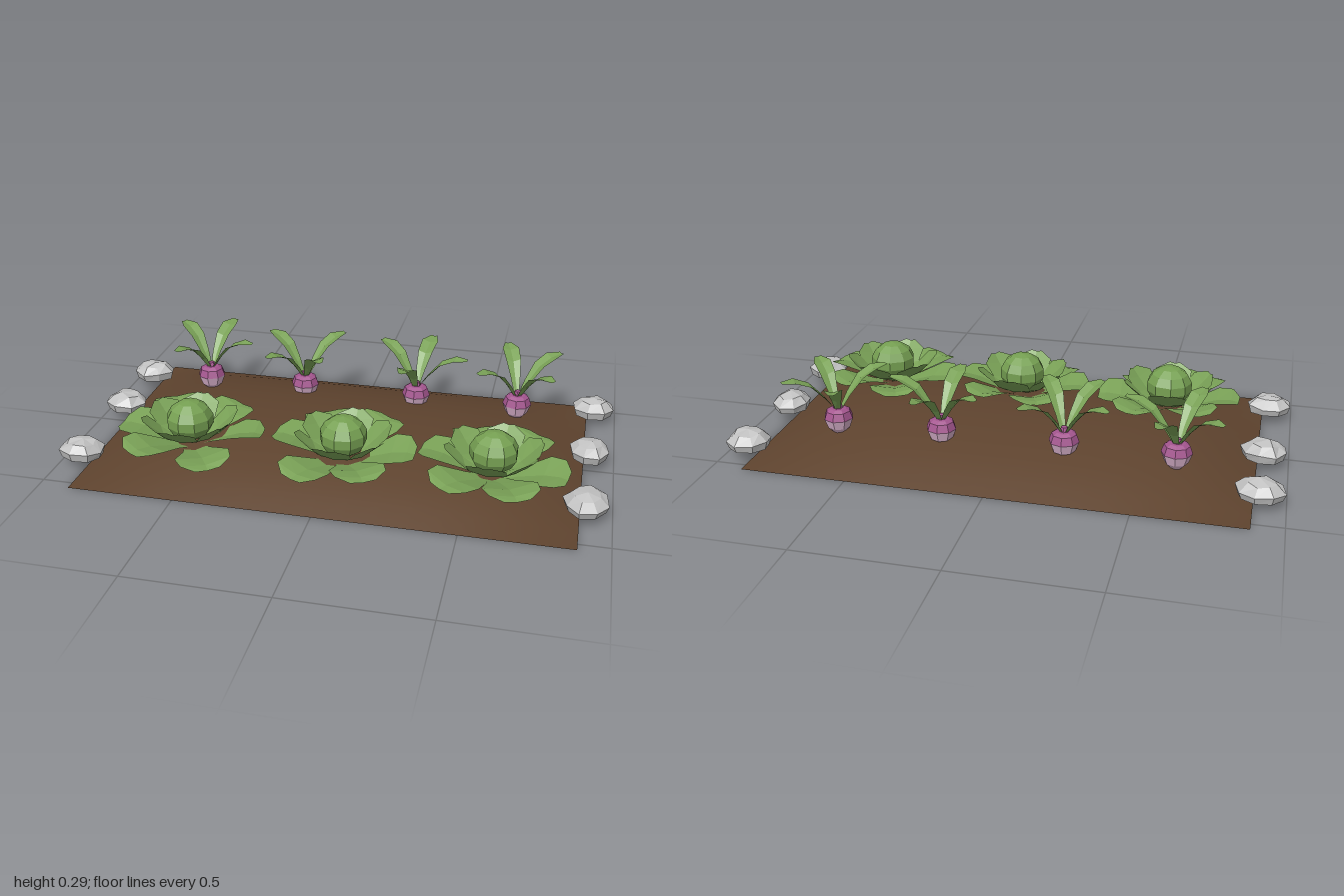
import * as THREE from 'three';

const material = (name, color, extra = {}) => {
  const m = new THREE.MeshStandardMaterial({ color, ...extra });
  m.name = name;
  return m;
};
const soilMat = material('soil brown', 0x5e432e, { side: THREE.DoubleSide });
const leafMat = material('leaf green', 0x7aa257, { side: THREE.DoubleSide, flatShading: true });
const headMat = material('cabbage green', 0x76a052, { flatShading: true });
const purpleMat = material('turnip purple', 0xa4568f, { flatShading: true });
const paleMat = material('turnip pale pink', 0xdcb4cf, { flatShading: true });
const stoneMat = material('stone grey', 0xc2c2c2, { flatShading: true });

const mesh = (name, geo, mat) => {
  const m = new THREE.Mesh(geo, mat);
  m.name = name;
  return m;
};

// Small seeded generator for natural variation
let seed = 7;
const vary = (amount) => {
  seed = (seed * 16807) % 2147483647;
  return (seed / 2147483647 - 0.5) * 2 * amount;
};

// Leaf growing along +x; each row is [distance, height, half width, edge lift]
function leafGeometry(rows) {
  const pos = [], index = [];
  rows.forEach(([r, y, w, lift], i) => {
    pos.push(r, y + lift, -w, r, y, 0, r, y + lift, w);
    if (i === 0) return;
    for (let c = 0; c < 2; c++) {
      const a = (i - 1) * 3 + c, b = a + 3;
      index.push(a, a + 1, b, a + 1, b + 1, b);
    }
  });
  const geo = new THREE.BufferGeometry();
  geo.setAttribute('position', new THREE.Float32BufferAttribute(pos, 3));
  geo.setIndex(index);
  geo.computeVertexNormals();
  return geo;
}

const outerLeaf = leafGeometry([
  [0, 0.055, 0.025, 0], [0.09, 0.085, 0.05, 0.008], [0.18, 0.115, 0.098, 0.018],
  [0.235, 0.122, 0.09, 0.015], [0.265, 0.118, 0.045, 0.005],
]);
const innerLeaf = leafGeometry([
  [0.03, 0.08, 0.03, 0], [0.1, 0.11, 0.065, 0.012], [0.145, 0.15, 0.07, 0.015], [0.175, 0.18, 0.02, 0.005],
]);
const turnipLeaf = leafGeometry([
  [0.005, 0.14, 0.008, 0], [0.045, 0.195, 0.018, 0.006], [0.095, 0.25, 0.029, 0.009],
  [0.15, 0.276, 0.032, 0.009], [0.2, 0.284, 0.012, 0.003],
]);

// Low domed bed, open underneath
function soilBed() {
  const geo = new THREE.PlaneGeometry(1.78, 1.07, 16, 12).rotateX(-Math.PI / 2);
  const p = geo.attributes.position;
  for (let i = 0; i < p.count; i++) {
    const u = p.getX(i) / 0.89, v = p.getZ(i) / 0.535;
    p.setY(i, 0.109 * (1 - u ** 4) * (1 - Math.abs(v) ** 2.1));
  }
  geo.computeVertexNormals();
  return mesh('soilBed', geo, soilMat);
}

// Round head inside two rings of six leaves
function cabbage(x, turn) {
  const g = new THREE.Group();
  g.name = 'cabbage';
  const head = mesh('cabbageHead', new THREE.SphereGeometry(0.088, 9, 7), headMat);
  head.scale.y = 0.87;
  head.position.y = 0.158;
  g.add(head);
  for (let i = 0; i < 6; i++) {
    const outer = mesh('outerLeaf', outerLeaf, leafMat);
    outer.rotation.set(vary(0.1), turn + i * Math.PI / 3 + vary(0.08), vary(0.05));
    const inner = mesh('innerLeaf', innerLeaf, leafMat);
    inner.rotation.y = turn + (i + 0.5) * Math.PI / 3 + vary(0.12);
    g.add(outer, inner);
  }
  g.position.set(x, 0, 0.22);
  return g;
}

// Two-tone root with four arching leaves; tips are leaf directions in degrees
function turnip(x, tips) {
  const g = new THREE.Group();
  g.name = 'turnip';
  const lathe = (pts) => new THREE.LatheGeometry(pts.map((p) => new THREE.Vector2(...p)), 8);
  g.add(mesh('rootTop', lathe([[0.055, 0.115], [0.045, 0.143], [0.03, 0.152], [0, 0.154]]), purpleMat));
  g.add(mesh('rootBottom', lathe([[0, 0.04], [0.022, 0.06], [0.042, 0.08], [0.055, 0.115]]), paleMat));
  tips.forEach((deg) => {
    const leaf = mesh('turnipLeaf', turnipLeaf, leafMat);
    leaf.rotation.y = THREE.MathUtils.degToRad(deg);
    g.add(leaf);
  });
  const crown = mesh('crown', new THREE.CylinderGeometry(0.012, 0.02, 0.02, 6), purpleMat);
  crown.position.y = 0.158;
  g.add(crown);
  g.position.set(x, 0, -0.267);
  return g;
}

// Flat-bottomed stone with an uneven outline
function stone(x, z, rx, rz) {
  const n = 8, pos = [], index = [];
  const edge = Array.from({ length: n }, () => 1 + vary(0.08));
  [[0.88, 0.033], [1, 0.062], [0.62, 0.088]].forEach(([s, y], k) => {
    for (let i = 0; i < n; i++) {
      const a = (i + 0.3) / n * Math.PI * 2;
      pos.push(Math.cos(a) * rx * s * edge[i], y + (k ? vary(0.006) : 0), Math.sin(a) * rz * s * edge[i]);
    }
  });
  pos.push(0, 0.033, 0, vary(0.015), 0.1, vary(0.015));
  for (let i = 0; i < n; i++) {
    const j = (i + 1) % n;
    for (const k of [0, n]) index.push(k + i, k + n + i, k + j, k + j, k + n + i, k + n + j);
    index.push(3 * n, i, j, 3 * n + 1, 2 * n + j, 2 * n + i);
  }
  const geo = new THREE.BufferGeometry();
  geo.setAttribute('position', new THREE.Float32BufferAttribute(pos, 3));
  geo.setIndex(index);
  geo.computeVertexNormals();
  const m = mesh('stone', geo, stoneMat);
  m.position.set(x, 0, z);
  return m;
}

export function createModel() {
  const model = new THREE.Group();
  model.name = 'vegetablePatch';
  model.add(soilBed());

  [[-0.535, 0], [0.043, -0.05], [0.58, -0.12]].forEach((c) => model.add(cabbage(...c)));

  [
    [-0.62, [76, -16, -111, 141]],
    [-0.225, [50, -59, -122, 147]],
    [0.225, [79, -8, -98, 143]],
    [0.62, [41, -48, -135, 108]],
  ].forEach((t) => model.add(turnip(...t)));

  // Stones along both short ends
  [
    [-0.913, -0.365, 0.085, 0.073], [-0.913, -0.065, 0.085, 0.075], [-0.913, 0.35, 0.087, 0.068],
    [0.912, -0.415, 0.084, 0.073], [0.905, -0.055, 0.072, 0.085], [0.905, 0.32, 0.077, 0.085],
  ].forEach((s) => model.add(stone(...s)));

  return model;
}
